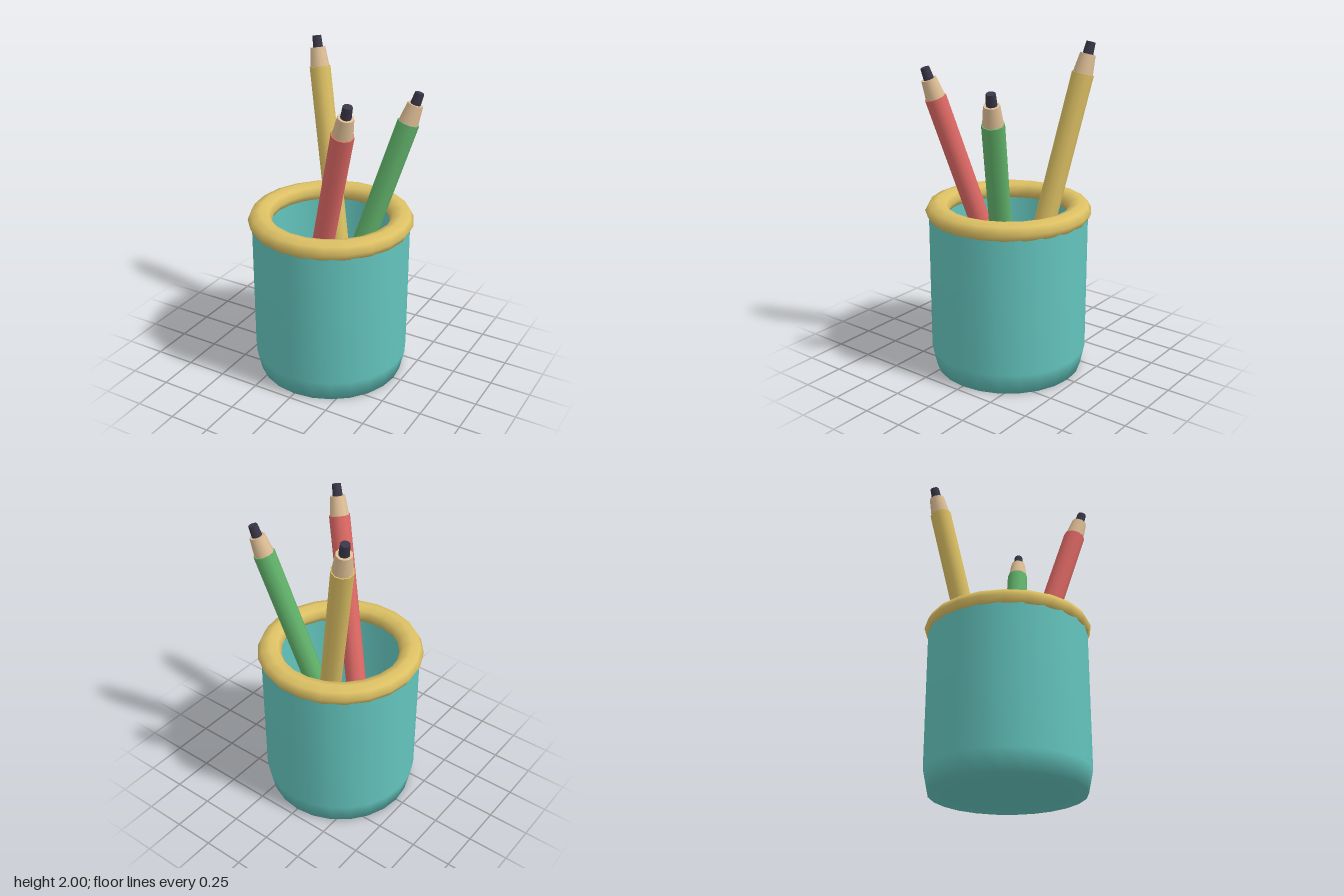
import * as THREE from 'three';

const mat = (name, color, extra = {}) => {
  const m = new THREE.MeshStandardMaterial({ color, ...extra });
  m.name = name;
  return m;
};

export function createModel() {
  const teal = mat('teal', 0x64c5be, { side: THREE.DoubleSide });
  const yellow = mat('yellow', 0xdcc064);
  const red = mat('red', 0xe06a66);
  const green = mat('green', 0x63b56c);
  const wood = mat('wood', 0xdfbf96);
  const lead = mat('lead', 0x3a3648);

  const model = new THREE.Group();
  model.name = 'pencilCup';
  const add = (parent, name, geometry, material) => {
    const mesh = new THREE.Mesh(geometry, material);
    mesh.name = name;
    parent.add(mesh);
    return mesh;
  };

  // Thin-walled cup, tapered at the foot
  const profile = [[0, 0], [0.45, 0], [0.478, 0.13], [0.478, 1]]
    .map(([r, y]) => new THREE.Vector2(r, y));
  add(model, 'cup', new THREE.LatheGeometry(profile, 24), teal);

  // Slightly flattened rim ring
  const ring = new THREE.TorusGeometry(0.427, 0.073, 8, 22);
  ring.rotateX(Math.PI / 2).scale(1, 0.8, 1).translate(0, 1.001, 0);
  add(model, 'rim', ring, yellow);

  // Pencil: body, wooden collar and lead stacked along the axis from foot to tip
  const up = new THREE.Vector3(0, 1, 0);
  const addPencil = (name, material, foot, tip) => {
    const a = new THREE.Vector3(...foot);
    const axis = new THREE.Vector3(...tip).sub(a);
    const length = axis.length();
    const pencil = new THREE.Group();
    pencil.name = name;
    pencil.position.copy(a);
    pencil.quaternion.setFromUnitVectors(up, axis.normalize());
    const section = (part, from, to, r0, r1, m) => {
      const geo = new THREE.CylinderGeometry(r1, r0, to - from, 10);
      add(pencil, part, geo.translate(0, (from + to) / 2, 0), m);
    };
    section('body', 0, length - 0.185, 0.065, 0.065, material);
    section('woodTip', length - 0.185, length - 0.07, 0.059, 0.046, wood);
    section('lead', length - 0.07, length, 0.031, 0.027, lead);
    model.add(pencil);
  };
  addPencil('yellowPencil', yellow, [0.065, 0.2, -0.1], [-0.306, 1.994, -0.36]);
  addPencil('redPencil', red, [-0.14, 0.22, 0.055], [0.31, 1.854, 0.365]);
  addPencil('greenPencil', green, [-0.01, 0.2, 0.01], [0.447, 1.79, -0.224]);

  return model;
}
